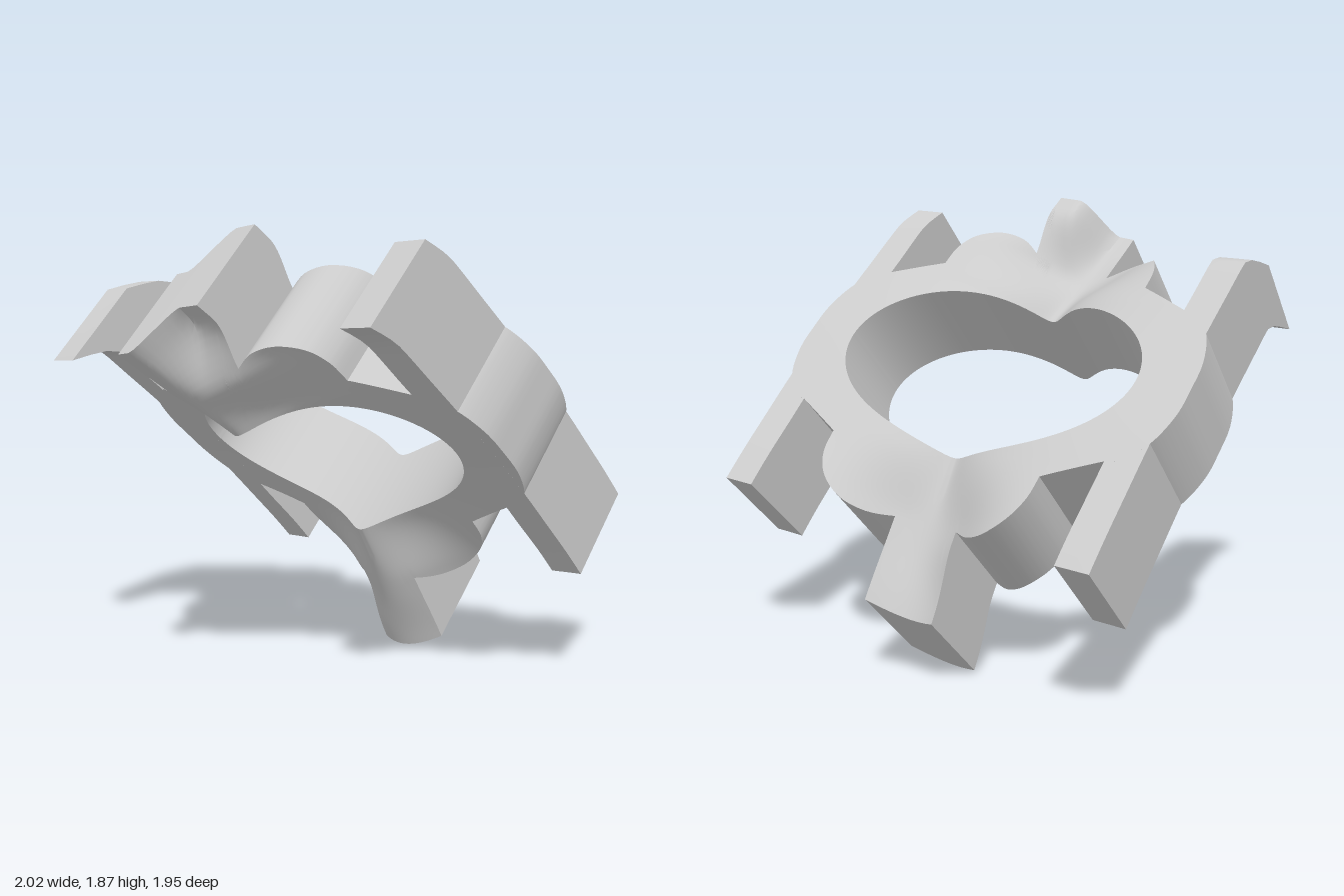
import * as THREE from 'three';
import { toCreasedNormals } from 'three/addons/utils/BufferGeometryUtils.js';

const T = 0.21; // half thickness of the plate
const { lerp, smoothstep, mapLinear } = THREE.MathUtils;

// Forward offset of the plate: a shallow bow plus a ridge along the centre line
function bend(u, v) {
  const base = 0.065 * v - 0.04 * (1 - (v / 0.81) ** 2);
  const low = mapLinear(v, -0.43, -1.036, 0.175, 0.35);
  const height = lerp(low, 0.27, smoothstep(v, -0.4, 0.4));
  const tip = smoothstep(-v, 0.75, 1);
  const d = u + 0.06 * Math.min(1, Math.max(0, (v - 0.4) / 0.3)) + 0.045 * tip;
  // Sharp crest beside the hole, rounded further out
  const sharp = Math.exp(-(Math.hypot(d, 0.04) - 0.04) / 0.21);
  const round = Math.exp(-(d * d) / (2 * (0.225 + 0.055 * tip) ** 2));
  const ridge = height * lerp(sharp, round, smoothstep(Math.abs(v), 0.42, 0.7));
  // The top tab steps back on one half
  const step = lerp(0.265, 0.05, smoothstep(u, -0.06, 0.08));
  const onTab = smoothstep(v, 0.64, 0.92);
  return base + lerp(ridge, step, onTab);
}

function bendGeometry(geo) {
  const p = geo.attributes.position;
  for (let i = 0; i < p.count; i++) {
    p.setZ(i, p.getZ(i) + bend(p.getX(i), p.getY(i)));
  }
  return toCreasedNormals(geo, 0.6);
}

function spline(points, n) {
  const curve = new THREE.SplineCurve(points.map(([x, y]) => new THREE.Vector2(x, y)));
  return curve.getPoints(n).map((q) => [q.x, q.y]);
}

// One quarter of the outer edge: side ear, shoulder, rounded lobe, centre tab
function quarter(tabHalfWidth, tabEnd, midEnd) {
  return [
    ...spline([[0.92, 0], [0.915, 0.12], [0.875, 0.25], [0.8, 0.36]], 12),
    [0.73, 0.37],
    ...spline([[0.5, 0.48], [0.49, 0.58], [0.44, 0.67], [0.35, 0.73], [0.25, 0.735], [tabHalfWidth, 0.7]], 20),
    [tabHalfWidth, tabEnd], [0, midEnd],
  ];
}

function outline() {
  const flip = (pts, sx, sy) => pts.map(([x, y]) => [x * sx, y * sy]);
  const bottom = quarter(0.15, 1.036, 1.036);
  const corners = [
    ...quarter(0.185, 1, 0.985),
    ...flip(quarter(0.13, 0.97, 0.985), -1, 1).reverse().slice(1),
    ...flip(bottom, -1, -1).slice(1),
    ...flip(bottom, 1, -1).reverse().slice(1, -1),
  ];
  // Split long edges so the plate bends smoothly
  const pts = [];
  corners.forEach(([x, y], i) => {
    const [nx, ny] = corners[(i + 1) % corners.length];
    const n = Math.max(1, Math.ceil(Math.hypot(nx - x, ny - y) / 0.02));
    for (let k = 0; k < n; k++) pts.push([x + ((nx - x) * k) / n, y + ((ny - y) * k) / n]);
  });
  return pts;
}

// Closed cross-sections run from the oval hole to the outer edge and back
function ringGeometry() {
  const rings = 18, hu = 0.69, hv = 0.41;
  const pos = [], idx = [];
  const loop = outline();
  const m = 2 * (rings + 1);
  loop.forEach(([x, y], i) => {
    const k = 1 / Math.hypot(x / hu, y / hv);
    for (let j = 0; j < m; j++) {
      const back = j <= rings;
      const f = (back ? j : m - 1 - j) / rings;
      const s = k + (1 - k) * f;
      pos.push(x * s, y * s, back ? -T : T);
    }
    const a = i * m, b = ((i + 1) % loop.length) * m;
    for (let j = 0; j < m; j++) {
      const n = (j + 1) % m;
      idx.push(a + j, b + j, b + n, a + j, b + n, a + n);
    }
  });
  const geo = new THREE.BufferGeometry();
  geo.setAttribute('position', new THREE.Float32BufferAttribute(pos, 3));
  geo.setIndex(idx);
  return bendGeometry(geo);
}

export function createModel() {
  const group = new THREE.Group();
  group.name = 'bentRingBracket';
  const material = new THREE.MeshStandardMaterial({ color: 0xcccccc });

  // Tilted frame in which the plate lies flat
  const frame = new THREE.Group();
  frame.name = 'tiltedPlate';
  const w = new THREE.Vector3(-0.088, -0.704, 0.704).normalize();
  const v = new THREE.Vector3().crossVectors(w, new THREE.Vector3(0.984, 0.05, 0.175)).normalize();
  const u = new THREE.Vector3().crossVectors(v, w);
  frame.quaternion.setFromRotationMatrix(new THREE.Matrix4().makeBasis(u, v, w));
  frame.position.set(0, 1.099, -0.089);
  group.add(frame);

  const ring = new THREE.Mesh(ringGeometry(), material);
  ring.name = 'ringWithLobesAndTabs';
  frame.add(ring);

  // Long bar on each side of the ring
  for (const side of [-1, 1]) {
    const geo = new THREE.BoxGeometry(0.14, 1.615, 2 * T, 2, 32, 1).translate(side * 0.797, 0, 0);
    const bar = new THREE.Mesh(bendGeometry(geo), material);
    bar.name = side > 0 ? 'leftBar' : 'rightBar';
    frame.add(bar);
  }
  return group;
}
